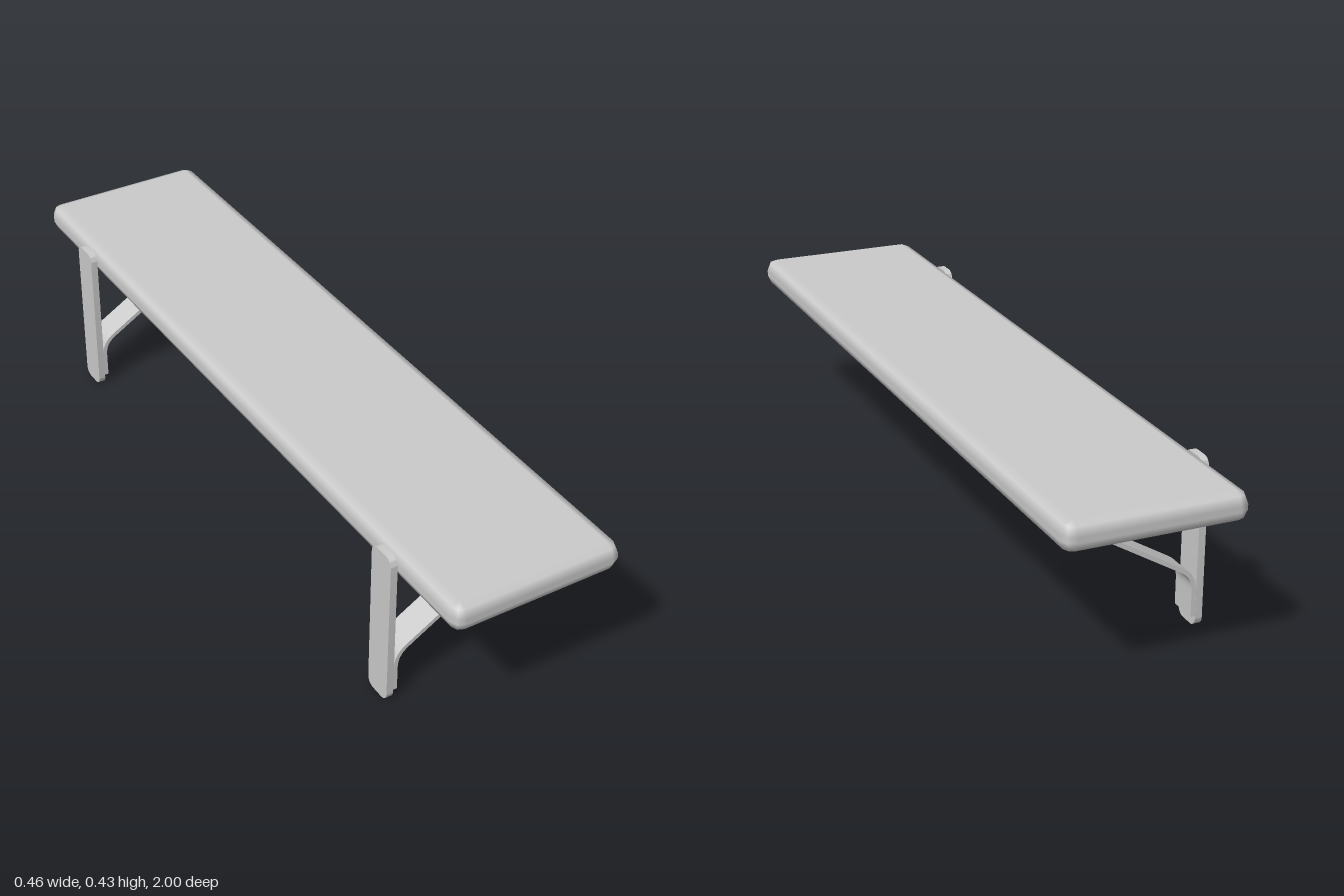
import * as THREE from 'three';
import { toCreasedNormals } from 'three/addons/utils/BufferGeometryUtils.js';

const material = new THREE.MeshStandardMaterial({ color: 0xcccccc });

// Box with rounded edges and corners, built from rings running from top to bottom
function roundedSlab(width, height, depth, r, steps) {
  const positions = [], normals = [], index = [];
  const columns = 4 * (steps + 1), rings = 2 * (steps + 1);
  for (let i = 0; i < rings; i++) {
    const top = i <= steps;
    const phi = (Math.PI / 2) * (1 - (top ? i : i - 1) / steps);
    for (let j = 0; j < columns; j++) {
      const corner = Math.floor(j / (steps + 1));
      const a = (corner + (j % (steps + 1)) / steps) * Math.PI / 2;
      const sx = corner === 0 || corner === 3 ? 1 : -1;
      const sz = corner < 2 ? 1 : -1;
      const n = [Math.cos(phi) * Math.cos(a), Math.sin(phi), Math.cos(phi) * Math.sin(a)];
      normals.push(...n);
      positions.push(
        sx * (width / 2 - r) + n[0] * r,
        (top ? 1 : -1) * (height / 2 - r) + n[1] * r,
        sz * (depth / 2 - r) + n[2] * r);
      if (i < rings - 1) {
        const p = i * columns + j, q = i * columns + (j + 1) % columns;
        index.push(p, q, p + columns, q, q + columns, p + columns);
      }
    }
  }
  // flat top and bottom
  const c = [0, 1, 2, 3].map(k => k * (steps + 1)), last = (rings - 1) * columns;
  index.push(c[0], c[2], c[1], c[0], c[3], c[2]);
  index.push(last + c[0], last + c[1], last + c[2], last + c[0], last + c[2], last + c[3]);
  const geometry = new THREE.BufferGeometry();
  geometry.setAttribute('position', new THREE.Float32BufferAttribute(positions, 3));
  geometry.setAttribute('normal', new THREE.Float32BufferAttribute(normals, 3));
  geometry.setIndex(index);
  return geometry;
}

// Extrusion centred on z, smooth along curves and sharp at edges
function extrude(shape, depth) {
  const geometry = new THREE.ExtrudeGeometry(shape, { depth, bevelEnabled: false, curveSegments: 5 });
  geometry.translate(0, 0, -depth / 2);
  return toCreasedNormals(geometry, 0.6);
}

// Upright wall plate with rounded ends
function uprightGeometry() {
  const w = 0.0385, h = 0.419, r = 0.022;
  const shape = new THREE.Shape();
  shape.absarc(w - r, r, r, -Math.PI / 2, 0);
  shape.absarc(w - r, h - r, r, 0, Math.PI / 2);
  shape.absarc(r - w, h - r, r, Math.PI / 2, Math.PI);
  shape.absarc(r - w, r, r, Math.PI, Math.PI * 1.5);
  return extrude(shape, 0.018).rotateY(Math.PI / 2).translate(-0.223, 0, 0);
}

// Bent flat strip: short vertical foot, bend, long diagonal
function strutGeometry() {
  const half = 0.0055;
  const foot = new THREE.Vector2(-0.2085, 0.028);
  const end = new THREE.Vector2(0.185, 0.365);
  const bend = new THREE.QuadraticBezierCurve(
    new THREE.Vector2(-0.2085, 0.095),
    new THREE.Vector2(-0.2085, 0.131),
    new THREE.Vector2(-0.1775, 0.1494));
  const path = [foot, ...bend.getPoints(8), end];
  const side = s => path.map((p, i) => {
    const t = i === 0 ? new THREE.Vector2(0, 1)
      : i === path.length - 1 ? end.clone().sub(path[i - 1]).normalize()
      : bend.getTangent((i - 1) / 8);
    return new THREE.Vector2(p.x + t.y * half * s, p.y - t.x * half * s);
  });
  return extrude(new THREE.Shape([...side(1), ...side(-1).reverse()]), 0.075);
}

function addMesh(parent, name, geometry) {
  const mesh = new THREE.Mesh(geometry, material);
  mesh.name = name;
  parent.add(mesh);
  return mesh;
}

export function createModel() {
  const model = new THREE.Group();
  model.name = 'wallShelf';

  // Board
  addMesh(model, 'shelfBoard', roundedSlab(0.445, 0.073, 2, 0.03, 2)).position.set(0.0085, 0.3945, 0);

  // Two matching brackets
  const upright = uprightGeometry(), strut = strutGeometry();
  for (const [name, z] of [['frontBracket', 0.738], ['backBracket', -0.738]]) {
    const bracket = new THREE.Group();
    bracket.name = name;
    bracket.position.z = z;
    addMesh(bracket, 'upright', upright);
    addMesh(bracket, 'strut', strut);
    model.add(bracket);
  }
  return model;
}
